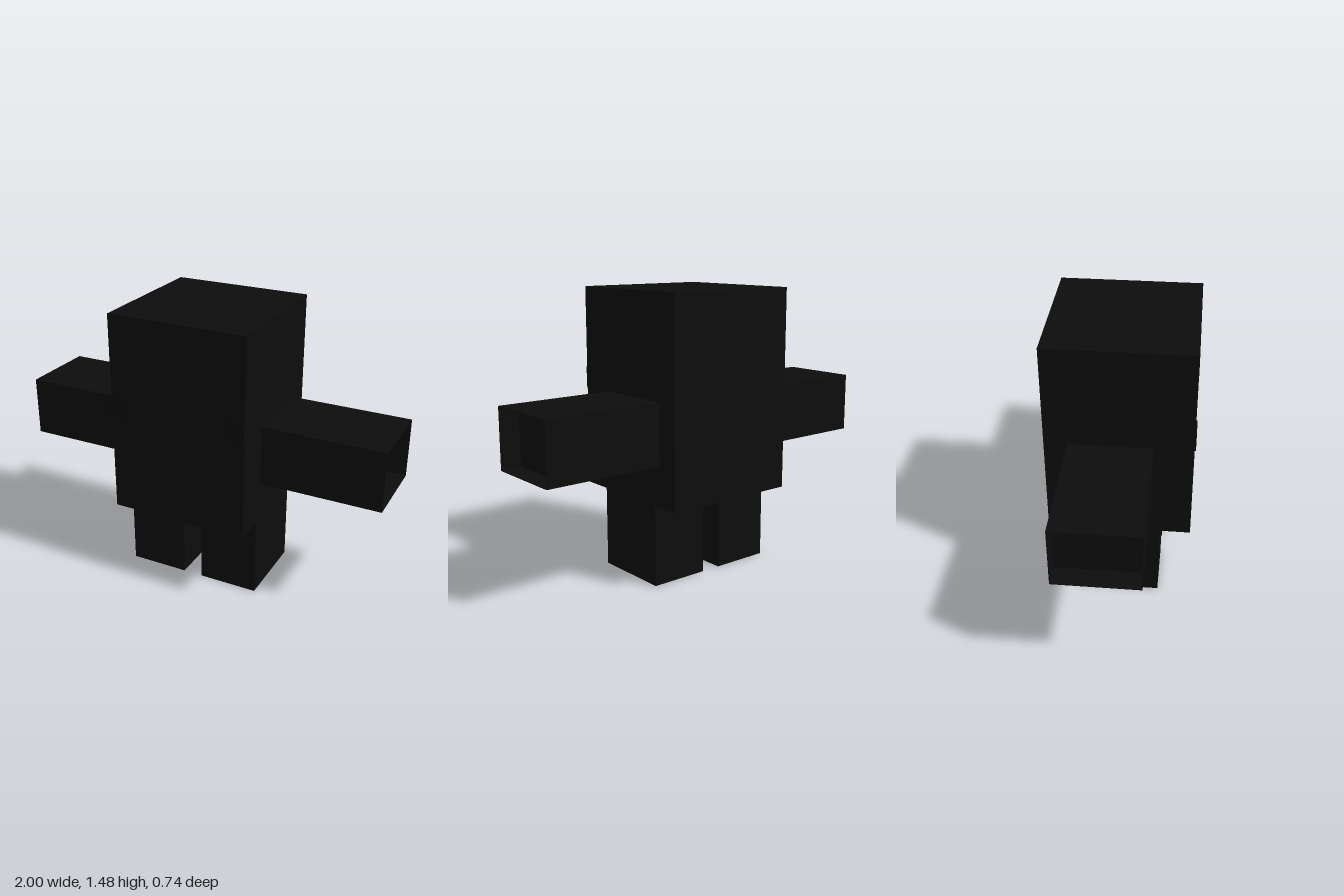
import * as THREE from 'three';

const black = new THREE.MeshStandardMaterial({ color: 0x0d0d0d });
black.name = 'black';
const eyeBlack = new THREE.MeshStandardMaterial({ color: 0x0a0a0a });
eyeBlack.name = 'eye black';

// Box given by its minimum and maximum corners
function box(name, min, max, material = black) {
  const size = max.map((v, i) => v - min[i]);
  const mesh = new THREE.Mesh(new THREE.BoxGeometry(...size), material);
  mesh.position.set(...max.map((v, i) => (v + min[i]) / 2));
  mesh.name = name;
  return mesh;
}

// Rectangle outline centred on the origin
function rect(Type, w, h) {
  return new Type().setFromPoints([
    new THREE.Vector2(-w / 2, -h / 2), new THREE.Vector2(w / 2, -h / 2),
    new THREE.Vector2(w / 2, h / 2), new THREE.Vector2(-w / 2, h / 2),
  ]);
}

// Thin-walled open end of an arm
function cuff(name, side) {
  const outline = rect(THREE.Shape, 0.42, 0.316);
  outline.holes.push(rect(THREE.Path, 0.412, 0.308));
  const geometry = new THREE.ExtrudeGeometry(outline, { depth: 0.105, bevelEnabled: false });
  geometry.translate(0, 0, -0.0525);
  geometry.rotateY(Math.PI / 2);
  const mesh = new THREE.Mesh(geometry, black);
  mesh.position.set(side * 0.9475, 0.79, -0.045);
  mesh.name = name;
  return mesh;
}

export function createModel() {
  const model = new THREE.Group();
  model.name = 'blockFigure';

  // Head and torso in one block
  model.add(box('body', [-0.368, 0.421, -0.371], [0.368, 1.475, 0.365]));

  for (const [label, s] of [['left', 1], ['right', -1]]) {
    const span = (a, b) => (s > 0 ? [a, b] : [-b, -a]);

    // Leg
    const [l0, l1] = span(0.053, 0.368);
    model.add(box(label + 'Leg', [l0, 0, -0.216], [l1, 0.421, 0.205]));

    // Arm with a recessed end
    const [a0, a1] = span(0.368, 0.895);
    model.add(box(label + 'Arm', [a0, 0.632, -0.255], [a1, 0.948, 0.165]));
    model.add(cuff(label + 'Cuff', s));

    // Eye plate, slightly proud of the face
    const [e0, e1] = span(0.263, 0.368);
    model.add(box(label + 'Eye', [e0, 0.948, 0.365], [e1, 1.053, 0.371], eyeBlack));
  }
  return model;
}
